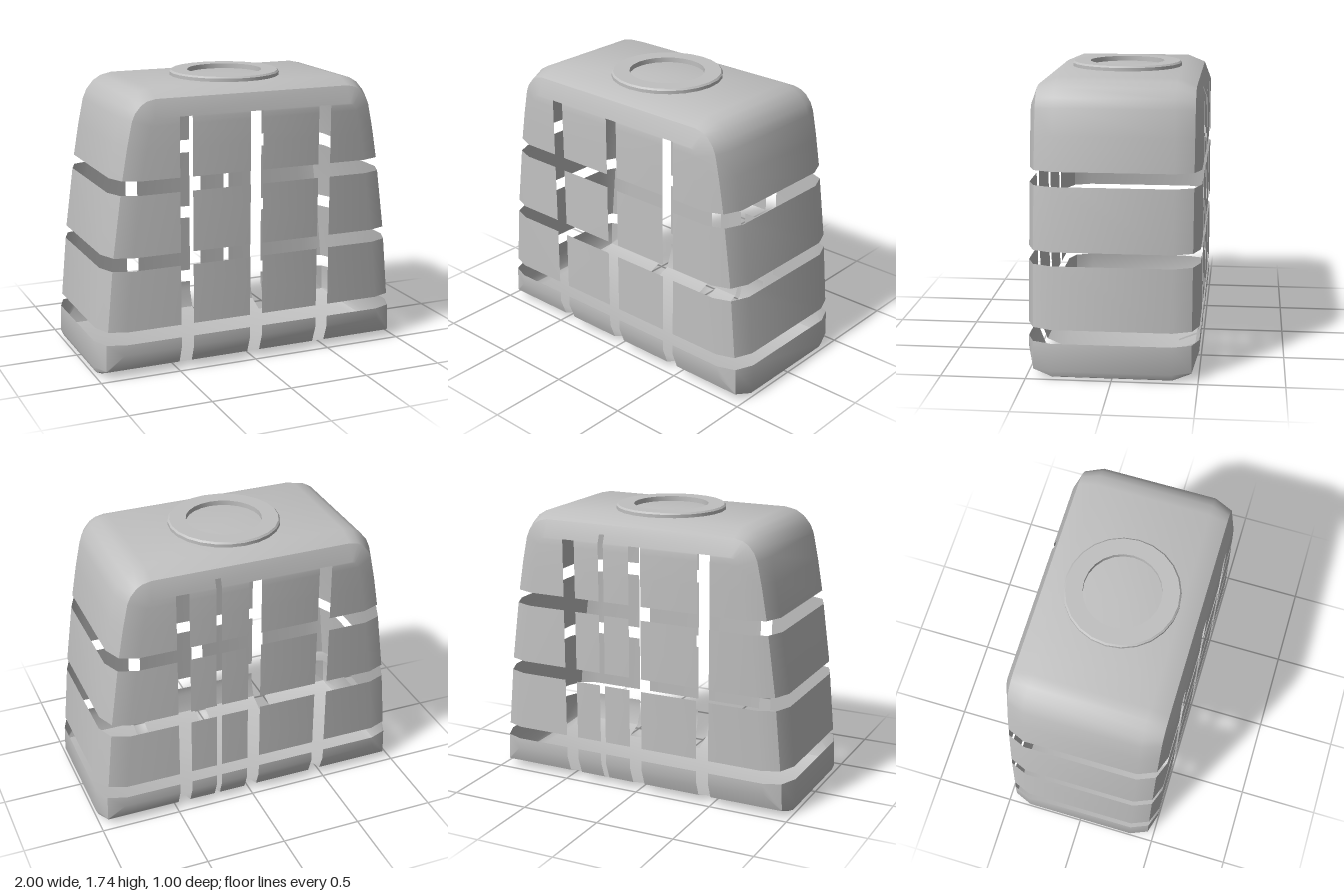
import * as THREE from 'three';
import { toCreasedNormals } from 'three/addons/utils/BufferGeometryUtils.js';

const grey = new THREE.MeshStandardMaterial({ color: 0xc0c0c0, side: THREE.DoubleSide });
grey.name = 'lightGrey';

// Right half of the front outline, bottom to top
const HALF = [
  [0.95, 0], [0.985, 0.015], [1, 0.05], [0.994, 0.215], [0.984, 0.295], [0.941, 0.745],
  [0.878, 1.2], [0.843, 1.4], [0.81, 1.555], [0.785, 1.612], [0.74, 1.665], [0.69, 1.695], [0.62, 1.71],
];
const OUTLINE = [...HALF, ...HALF.map(([x, y]) => [-x, y]).reverse()];
const COUNT = OUTLINE.length;

// Depth and inset of each outline copy, giving bevelled front and back edges
const LEVELS = [[-0.5, 0.15], [-0.46, 0.045], [-0.35, 0], [0.35, 0], [0.46, 0.045], [0.5, 0.15]];

// Horizontal bands left between the cut gaps
const BANDS = [
  ['bottomBand', -0.1, 0.215], ['lowerBand', 0.295, 0.665],
  ['upperBand', 0.745, 1.115], ['topCover', 1.2, 2],
];

// Vertical slots: left edge, right edge, top, back only
const SLOTS = [
  [-0.49, -0.41, 1.56, false], [-0.04, 0.04, 1.56, false], [0.41, 0.49, 1.56, false],
  [0.21, 0.245, 1.61, true],
];

function insetOutline(z, d) {
  return OUTLINE.map(([x, y], i) => {
    const a = OUTLINE[(i + COUNT - 1) % COUNT], b = OUTLINE[(i + 1) % COUNT];
    const tx = b[0] - a[0], ty = b[1] - a[1], l = Math.hypot(tx, ty);
    const px = x - (d * ty) / l, py = y + (d * tx) / l;
    const limit = 1 - d;
    return [Math.max(-limit, Math.min(limit, px)), Math.max(d, py), z];
  });
}

// Uncut shell with smooth bevels
function shellGeometry() {
  const pos = [];
  const quad = (a, b, c, d) => pos.push(...a, ...b, ...c, ...a, ...c, ...d);
  const rings = LEVELS.map(([z, d]) => insetOutline(z, d));
  for (let k = 0; k < rings.length - 1; k++) {
    for (let i = 0; i < COUNT; i++) {
      const j = (i + 1) % COUNT;
      quad(rings[k][i], rings[k][j], rings[k + 1][j], rings[k + 1][i]);
    }
  }
  const back = rings[0], front = rings[rings.length - 1];
  for (let i = 0; i < HALF.length - 1; i++) {
    const m = COUNT - 1 - i;
    quad(front[i], front[i + 1], front[m - 1], front[m]);
    quad(back[m], back[m - 1], back[i + 1], back[i]);
  }
  const geo = new THREE.BufferGeometry();
  geo.setAttribute('position', new THREE.Float32BufferAttribute(pos, 3));
  return toCreasedNormals(geo, 0.6);
}

// Part of a polygon on one side of an axis plane
function clip(poly, axis, value, sign) {
  const out = [];
  poly.forEach((p, i) => {
    const q = poly[(i + 1) % poly.length];
    const dp = (p[axis] - value) * sign, dq = (q[axis] - value) * sign;
    if (dp >= 0) out.push(p);
    if ((dp > 0 && dq < 0) || (dp < 0 && dq > 0)) {
      const t = dp / (dp - dq);
      out.push(p.map((v, n) => v + (q[n] - v) * t));
    }
  });
  return out;
}

function splitAll(polys, axis, values) {
  for (const v of values) {
    polys = polys.flatMap((p) => [clip(p, axis, v, -1), clip(p, axis, v, 1)]).filter((p) => p.length > 2);
  }
  return polys;
}

const middle = (poly, axis) => poly.reduce((s, p) => s + p[axis], 0) / poly.length;

function inSlot(poly) {
  const x = middle(poly, 0), y = middle(poly, 1), z = middle(poly, 2);
  return SLOTS.some(([x0, x1, top, backOnly]) =>
    x > x0 && x < x1 && y < top && Math.abs(z) > 0.351 && (!backOnly || z < 0));
}

function polysToGeometry(polys) {
  const pos = [], nor = [];
  for (const p of polys) {
    for (let i = 1; i < p.length - 1; i++) {
      for (const v of [p[0], p[i], p[i + 1]]) {
        pos.push(v[0], v[1], v[2]);
        nor.push(v[3], v[4], v[5]);
      }
    }
  }
  const geo = new THREE.BufferGeometry();
  geo.setAttribute('position', new THREE.Float32BufferAttribute(pos, 3));
  geo.setAttribute('normal', new THREE.Float32BufferAttribute(nor, 3));
  geo.normalizeNormals();
  return geo;
}

export function createModel() {
  const model = new THREE.Group();
  model.name = 'slottedShell';

  // Triangles of the shell as position + normal records
  const shell = shellGeometry();
  const P = shell.attributes.position, N = shell.attributes.normal;
  let polys = [];
  for (let i = 0; i < P.count; i += 3) {
    polys.push([i, i + 1, i + 2].map((k) =>
      [P.getX(k), P.getY(k), P.getZ(k), N.getX(k), N.getY(k), N.getZ(k)]));
  }

  // Cut the gaps and slots
  polys = splitAll(polys, 1, [0.215, 0.295, 0.665, 0.745, 1.115, 1.2, 1.56, 1.61]);
  polys = splitAll(polys, 0, SLOTS.flatMap((s) => [s[0], s[1]]));
  polys = polys.filter((p) => !inSlot(p));

  for (const [name, low, high] of BANDS) {
    const part = polys.filter((p) => middle(p, 1) > low && middle(p, 1) < high);
    const mesh = new THREE.Mesh(polysToGeometry(part), grey);
    mesh.name = name;
    model.add(mesh);
  }

  // Raised ring on the top
  const profile = [[0.23, 1.695], [0.34, 1.695], [0.34, 1.73], [0.33, 1.74], [0.23, 1.74], [0.23, 1.695]];
  const ringGeo = new THREE.LatheGeometry(profile.map(([r, y]) => new THREE.Vector2(r, y)), 24);
  ringGeo.deleteAttribute('uv');
  ringGeo.deleteAttribute('normal');
  const ring = new THREE.Mesh(toCreasedNormals(ringGeo, 0.6), grey);
  ring.name = 'topRing';
  model.add(ring);

  return model;
}
